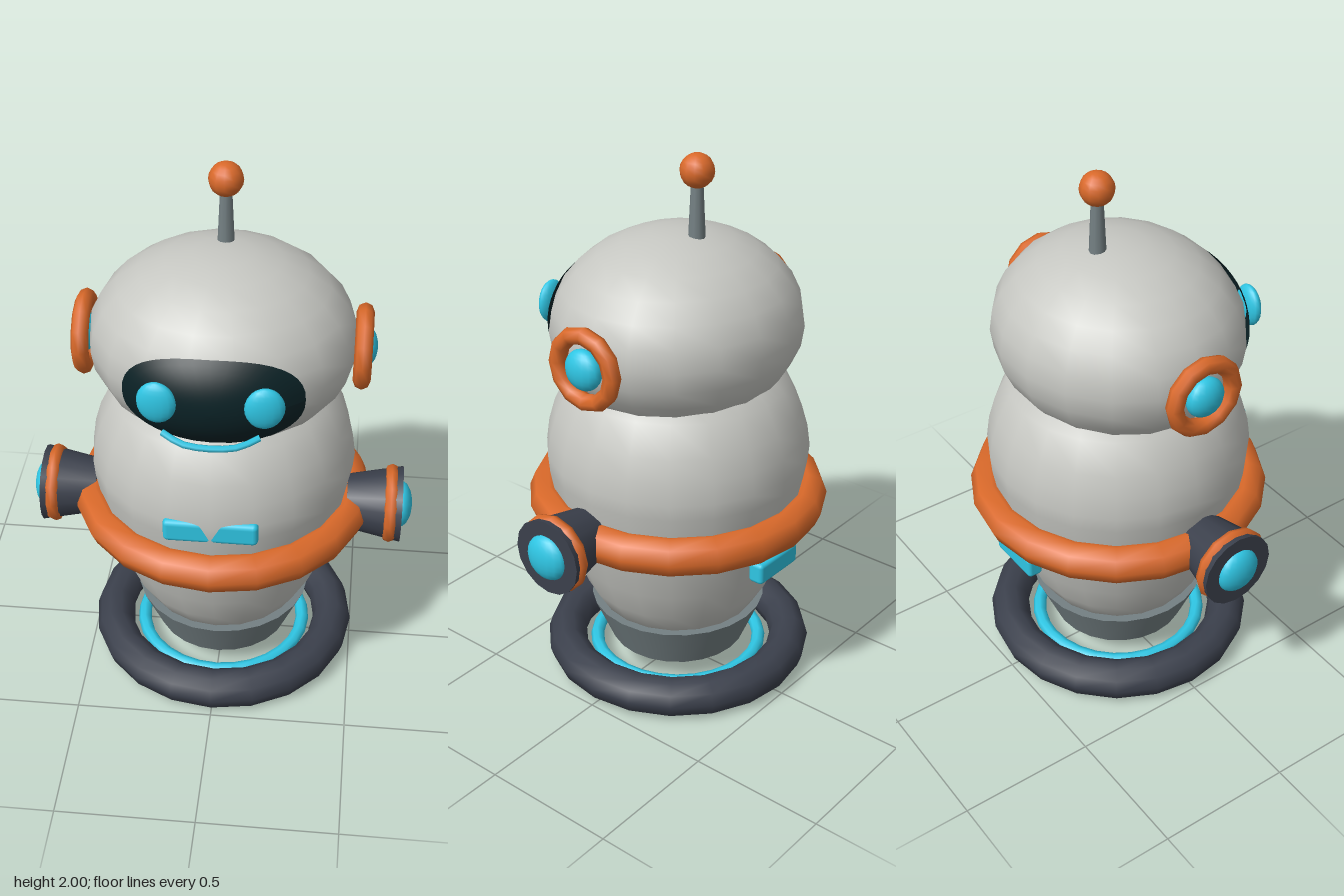
import * as THREE from 'three';
import { RoundedBoxGeometry } from 'three/addons/geometries/RoundedBoxGeometry.js';

const paint = (name, color) => {
  const m = new THREE.MeshStandardMaterial({ color });
  m.name = name;
  return m;
};

// Head ellipsoid, shared with the visor that hugs it
const HEAD = { y: 1.38, rx: 0.47, ry: 0.34, rz: 0.435 };

// Rounded face plate following the head's front, bulging slightly in the middle
function visorGeometry() {
  const rings = 10, sides = 40, pos = [], index = [];
  for (let i = 0; i <= rings; i++) {
    for (let j = 0; j <= sides; j++) {
      const r = i / rings, a = (j / sides) * Math.PI * 2;
      const c = Math.cos(a), s = Math.sin(a), e = 0.85;
      const x = 0.305 * r * Math.sign(c) * Math.abs(c) ** e;
      const y = 1.365 + 0.175 * r * Math.sign(s) * Math.abs(s) ** e;
      const k = 1 - (x / HEAD.rx) ** 2 - ((y - HEAD.y) / HEAD.ry) ** 2;
      pos.push(x, y, HEAD.rz * Math.sqrt(Math.max(k, 0)) + 0.007 + 0.015 * (1 - r * r));
    }
  }
  const w = sides + 1;
  for (let i = 0; i < rings; i++) {
    for (let j = 0; j < sides; j++) {
      const a = i * w + j, b = a + w;
      if (i > 0) index.push(a, b, a + 1);
      index.push(b, b + 1, a + 1);
    }
  }
  const g = new THREE.BufferGeometry();
  g.setAttribute('position', new THREE.Float32BufferAttribute(pos, 3));
  g.setIndex(index);
  g.computeVertexNormals();
  return g;
}

export function createModel() {
  const model = new THREE.Group();
  model.name = 'robot';

  const shell = paint('shellGrey', 0xc6c7c2);
  const metal = paint('metalGrey', 0x748083);
  const dark = paint('darkSlate', 0x3b404c);
  const orange = paint('orange', 0xd9692a);
  const cyan = paint('cyan', 0x2fc6e4);
  const black = paint('visorBlack', 0x0b2226);
  black.side = THREE.DoubleSide;

  const add = (name, geometry, material, x = 0, y = 0, z = 0) => {
    const mesh = new THREE.Mesh(geometry, material);
    mesh.name = name;
    mesh.position.set(x, y, z);
    model.add(mesh);
    return mesh;
  };
  const ellipsoid = (rx, ry, rz, w = 16, h = 12) =>
    new THREE.SphereGeometry(1, w, h).scale(rx, ry, rz);
  const flatRing = (R, t, n, m = 20) => new THREE.TorusGeometry(R, t, n, m).rotateX(Math.PI / 2);
  const sideRing = (R, t) => new THREE.TorusGeometry(R, t, 8, 12).rotateY(Math.PI / 2);

  // Base
  add('baseRing', flatRing(0.428, 0.073, 10), dark, 0, 0.073, 0);
  add('glowRing', flatRing(0.312, 0.025, 8, 28), cyan, 0, 0.055, 0);
  add('stand', new THREE.CylinderGeometry(0.326, 0.255, 0.17, 24), metal, 0, 0.185, 0);

  // Body
  const profile = [
    [0, 0.2], [0.2, 0.21], [0.295, 0.27], [0.345, 0.355], [0.39, 0.47], [0.425, 0.6],
    [0.455, 0.73], [0.474, 0.84], [0.479, 0.9], [0.468, 0.98], [0.445, 1.06],
    [0.395, 1.165], [0.3, 1.25], [0, 1.3],
  ].map(([r, y]) => new THREE.Vector2(r, y));
  add('body', new THREE.LatheGeometry(profile, 20), shell);
  add('waistBand', flatRing(0.479, 0.07, 8), orange, 0, 0.706, 0);
  add('chestLight', new RoundedBoxGeometry(0.33, 0.088, 0.05, 2, 0.018), cyan, 0, 0.873, 0.449);
  add('backPanel', new RoundedBoxGeometry(0.22, 0.082, 0.06, 2, 0.015), cyan, 0, 0.56, -0.44);

  // Head and face
  add('head', ellipsoid(HEAD.rx, HEAD.ry, HEAD.rz, 18, 14), shell, 0, HEAD.y, 0);
  add('visor', visorGeometry(), black);
  const smile = new THREE.CatmullRomCurve3([
    new THREE.Vector3(-0.162, 1.268, 0.428), new THREE.Vector3(-0.085, 1.243, 0.458),
    new THREE.Vector3(0.085, 1.243, 0.458), new THREE.Vector3(0.162, 1.268, 0.428),
  ]);
  add('mouth', new THREE.TubeGeometry(smile, 8, 0.012, 6), cyan);

  // Antenna
  add('antennaRod', new THREE.CylinderGeometry(0.02, 0.03, 0.22, 10), metal, 0, 1.81, -0.083);
  add('antennaBall', ellipsoid(0.06, 0.06, 0.06, 12, 10), orange, 0, 1.94, -0.083);

  // Mirrored parts
  for (const [side, s] of [['left', 1], ['right', -1]]) {
    const eye = add(side + 'Eye', ellipsoid(0.067, 0.078, 0.03), cyan, s * 0.177, 1.395, 0.438);
    eye.rotation.y = s * 0.12;

    add(side + 'EarRing', sideRing(0.12, 0.031), orange, s * 0.485, 1.365, 0);
    add(side + 'EarLight', ellipsoid(0.045, 0.073, 0.073), cyan, s * 0.49, 1.365, 0);

    // Arm stub flaring outwards
    const arm = new THREE.CylinderGeometry(0.14, 0.1, 0.2, 16).rotateZ(-s * Math.PI / 2);
    add(side + 'Arm', arm, dark, s * 0.56, 0.706, 0.04);
    add(side + 'ArmRing', sideRing(0.12, 0.026), orange, s * 0.62, 0.706, 0.04);
    add(side + 'ArmLight', ellipsoid(0.045, 0.085, 0.085), cyan, s * 0.655, 0.706, 0.04);
  }
  return model;
}
